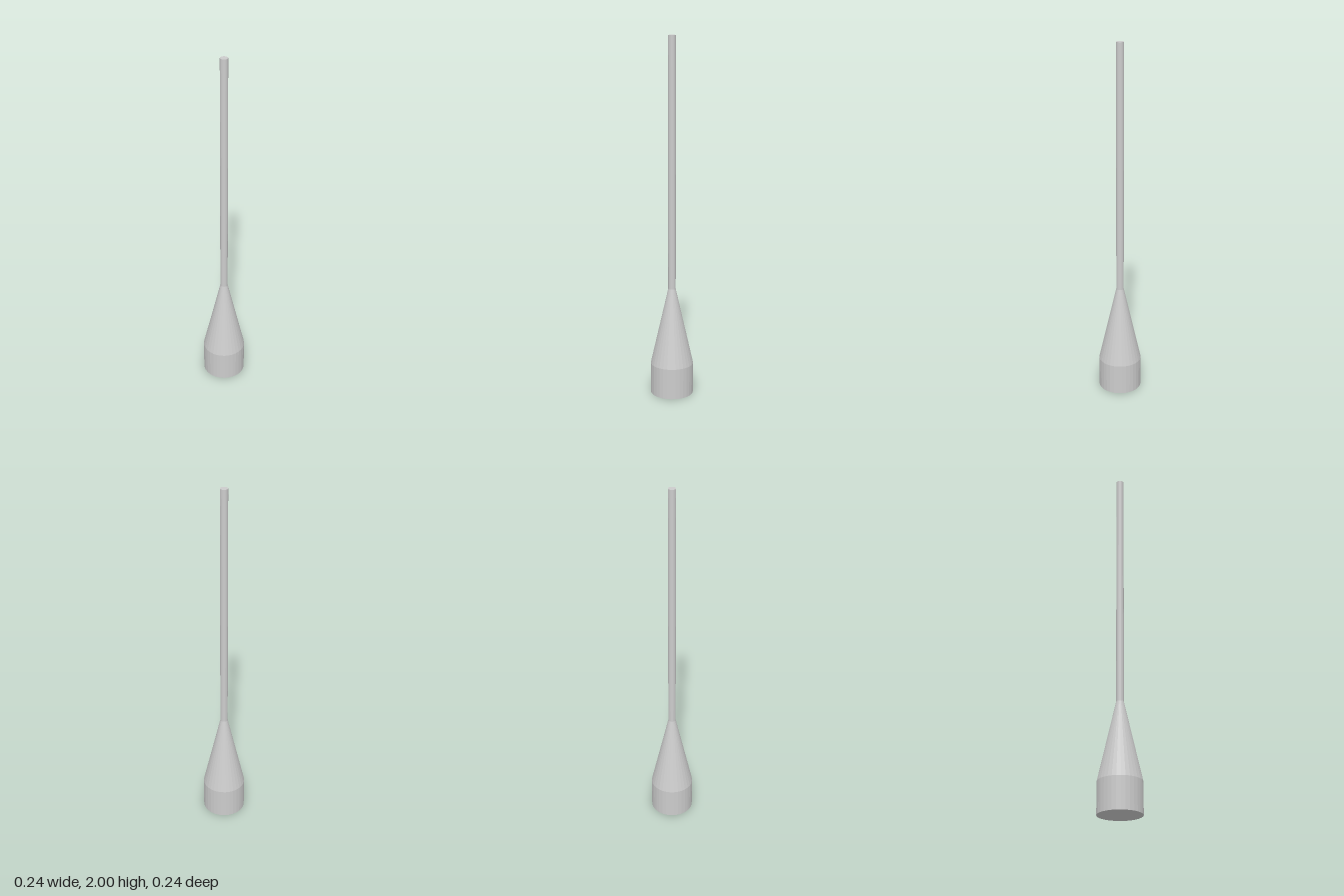
import * as THREE from 'three';

const SIDES = 32;
const BASE_R = 0.12, ROD_R = 0.021;
const BASE_TOP = 0.175, CONE_TOP = 0.61, ROD_TOP = 2;

export function createModel() {
  const group = new THREE.Group();
  const material = new THREE.MeshStandardMaterial({ color: 0xcccccc, flatShading: true });

  // Upright round section between two heights
  const section = (name, rBottom, rTop, y0, y1, open = false) => {
    const mesh = new THREE.Mesh(new THREE.CylinderGeometry(rTop, rBottom, y1 - y0, SIDES, 1, open), material);
    mesh.name = name;
    mesh.position.y = (y0 + y1) / 2;
    group.add(mesh);
  };

  section('base', BASE_R, BASE_R, 0, BASE_TOP);
  section('taperedNeck', BASE_R, ROD_R, BASE_TOP, CONE_TOP, true);
  section('rod', ROD_R, ROD_R, CONE_TOP, ROD_TOP);

  return group;
}
